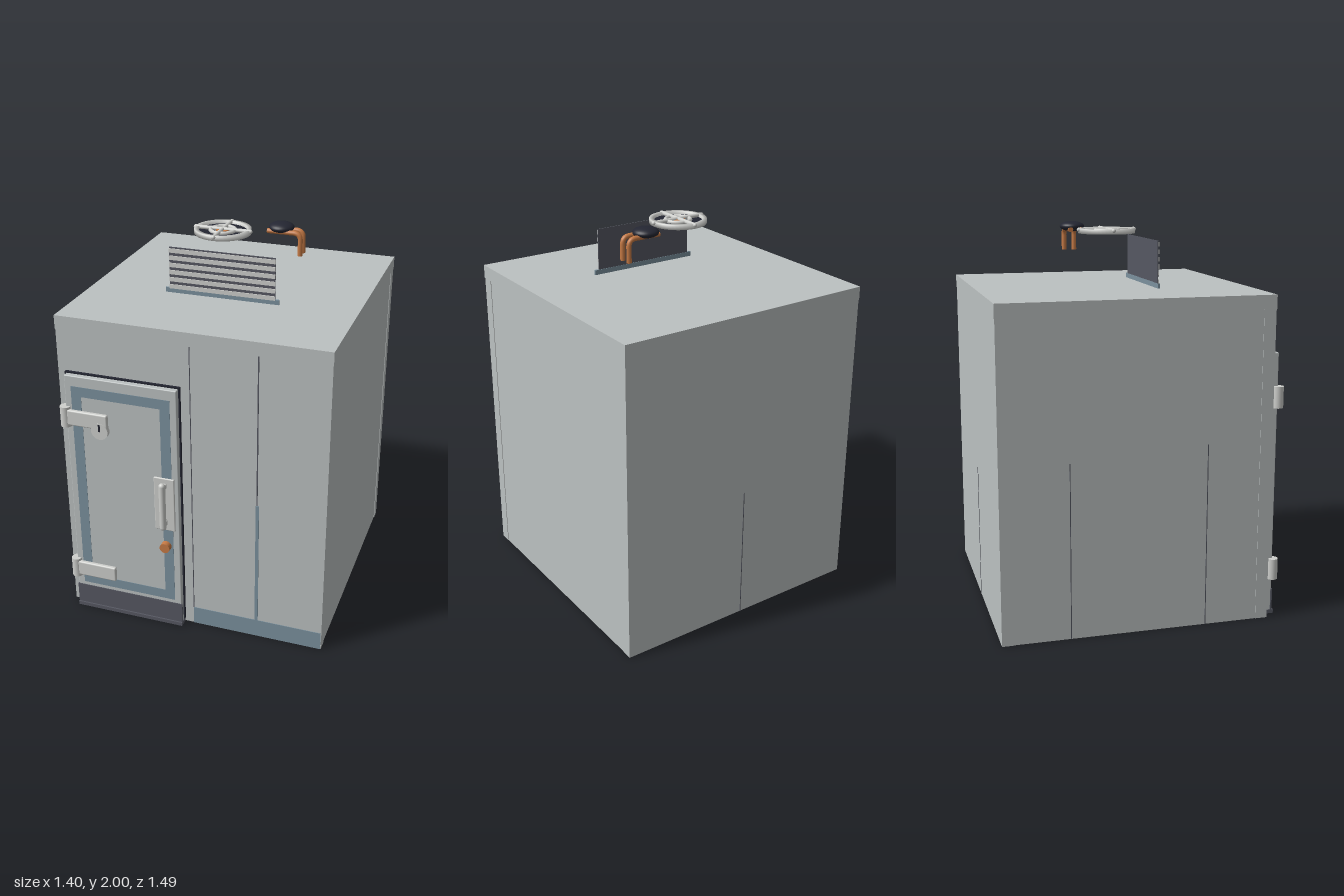
import * as THREE from 'three';
import { RoundedBoxGeometry } from 'three/addons/geometries/RoundedBoxGeometry.js';

const material = (name, color) => {
  const m = new THREE.MeshStandardMaterial({ color });
  m.name = name;
  return m;
};

export function createModel() {
  const panel = material('panel grey', 0xbcc1c1);
  const metal = material('light metal', 0xcfd0cd);
  const blue = material('slate blue', 0x7b919e);
  const dark = material('dark kick plate', 0x565862);
  const black = material('blue black', 0x242632);
  const copper = material('copper', 0xc67a45);

  const root = new THREE.Group();
  root.name = 'coldRoom';
  const group = (name) => {
    const g = new THREE.Group();
    g.name = name;
    root.add(g);
    return g;
  };
  const add = (parent, name, geometry, mat, x = 0, y = 0, z = 0) => {
    const m = new THREE.Mesh(geometry, mat);
    m.name = name;
    m.position.set(x, y, z);
    parent.add(m);
    return m;
  };
  // Box given by its limits on each axis
  const slab = (parent, name, mat, x0, x1, y0, y1, z0, z1, r = 0) => {
    const s = [x1 - x0, y1 - y0, z1 - z0];
    const geo = r ? new RoundedBoxGeometry(...s, 2, r) : new THREE.BoxGeometry(...s);
    return add(parent, name, geo, mat, (x0 + x1) / 2, (y0 + y1) / 2, (z0 + z1) / 2);
  };
  // Flat rectangular frame facing +z
  const frame = (parent, name, mat, x0, x1, y0, y1, w, z, depth) => {
    const rect = (P, a, b, c, d) => new P([[a, c], [b, c], [b, d], [a, d]].map((p) => new THREE.Vector2(...p)));
    const shape = rect(THREE.Shape, x0, x1, y0, y1);
    shape.holes.push(rect(THREE.Path, x0 + w, x1 - w, y0 + w, y1 - w));
    return add(parent, name, new THREE.ExtrudeGeometry(shape, { depth, bevelEnabled: false }), mat, 0, 0, z);
  };

  // Insulated walls, open below, with a doorway in the front
  const shell = group('shell');
  slab(shell, 'roof', panel, -0.7, 0.7, 1.61, 1.68, -0.74, 0.65);
  slab(shell, 'backWall', panel, -0.698, 0.698, 0, 1.61, -0.738, -0.68);
  for (const s of [-1, 1]) {
    slab(shell, 'sideWall', panel, s * 0.665 - 0.03, s * 0.665 + 0.03, 0, 1.61, -0.68, 0.585);
  }
  slab(shell, 'frontWallRight', panel, -0.698, -0.64, 0, 1.61, 0.585, 0.648);
  slab(shell, 'frontWallLeft', panel, -0.065, 0.698, 0, 1.61, 0.585, 0.648);
  slab(shell, 'doorLintel', panel, -0.64, -0.065, 1.37, 1.61, 0.585, 0.648);

  // Panel joints and skirting
  const trim = group('wallTrim');
  slab(trim, 'frontSkirting', blue, 0, 0.695, 0, 0.1, 0.645, 0.651);
  slab(trim, 'frontJoint', dark, -0.002, 0.002, 0.1, 1.61, 0.645, 0.65);
  slab(trim, 'frontJoint', dark, 0.341, 0.347, 0.1, 1.61, 0.645, 0.65);
  slab(trim, 'jointCover', blue, 0.338, 0.355, 0.1, 0.8, 0.645, 0.652);
  slab(trim, 'backJoint', dark, -0.002, 0.002, 0, 0.72, -0.74, -0.735);
  for (const [z, h] of [[-0.39, 0.9], [0.31, 0.95]]) {
    slab(trim, 'sideJoint', dark, -0.697, -0.693, 0, h, z - 0.002, z + 0.002);
  }

  // Door leaf with seals and kick plate
  const door = group('door');
  slab(door, 'doorSeal', black, -0.657, -0.048, 0.02, 1.393, 0.648, 0.662);
  slab(door, 'doorLeaf', panel, -0.65, -0.055, 0.01, 1.385, 0.655, 0.69, 0.005);
  slab(door, 'doorInnerPanel', panel, -0.638, -0.067, 0.01, 1.368, 0.62, 0.65);
  frame(door, 'frontGasket', blue, -0.615, -0.09, 0.155, 1.33, 0.053, 0.687, 0.005);
  frame(door, 'innerGasket', blue, -0.615, -0.09, 0.155, 1.33, 0.053, 0.616, 0.006);
  slab(door, 'kickPlate', dark, -0.655, -0.05, 0.005, 0.135, 0.686, 0.694);
  slab(door, 'threshold', dark, -0.655, -0.05, 0, 0.02, 0.585, 0.702);

  // Hinges: barrel and strap
  const hinges = group('hinges');
  for (const y of [1.16, 0.25]) {
    add(hinges, 'hingeBarrel', new THREE.CylinderGeometry(0.028, 0.028, 0.11, 24), metal, -0.653, y, 0.69);
    slab(hinges, 'hingeStrap', metal, -0.64, -0.42, y - 0.042, y + 0.042, 0.688, 0.712, 0.008);
  }

  // Lock tab below the upper hinge
  const lock = group('lock');
  add(lock, 'lockDisc', new THREE.CylinderGeometry(0.045, 0.045, 0.024, 32), metal, -0.462, 1.11, 0.702).rotation.x = Math.PI / 2;
  slab(lock, 'keySlot', black, -0.467, -0.457, 1.11, 1.15, 0.71, 0.716);

  // Pull handle and release knob
  const handle = group('handle');
  slab(handle, 'handlePlate', metal, -0.185, -0.075, 0.59, 0.895, 0.688, 0.7, 0.005);
  add(handle, 'handleBar', new THREE.CapsuleGeometry(0.017, 0.24, 6, 16), metal, -0.128, 0.747, 0.73);
  for (const y of [0.64, 0.855]) slab(handle, 'handlePost', metal, -0.14, -0.116, y - 0.012, y + 0.012, 0.695, 0.73);
  add(handle, 'releaseKnob', new THREE.CylinderGeometry(0.027, 0.027, 0.034, 24), copper, -0.128, 0.492, 0.706).rotation.x = Math.PI / 2;

  // Equipment case inside the room
  const unit = group('equipment');
  slab(unit, 'equipmentCase', panel, -0.29, 0.29, 0.01, 0.25, -0.26, 0.17, 0.012);

  // Louvred grille standing on the roof
  slab(unit, 'grilleRail', blue, -0.303, 0.3, 1.68, 1.705, 0.165, 0.176);
  slab(unit, 'grilleBack', dark, -0.282, 0.278, 1.7, 1.92, 0.167, 0.172);
  for (let i = 0; i < 6; i++) {
    const y = 1.712 + i * 0.038;
    slab(unit, 'grilleSlat', metal, -0.282, 0.278, y - 0.011, y + 0.011, 0.171, 0.177);
  }

  // Fan with guard rings and cross bars
  const fan = group('fan');
  fan.position.set(-0.07, 1.965, -0.045);
  const ringProfile = [[0.125, -0.015], [0.147, -0.015], [0.147, 0.01], [0.125, 0.01], [0.125, -0.015]];
  add(fan, 'fanRim', new THREE.LatheGeometry(ringProfile.map((p) => new THREE.Vector2(...p)), 48), metal);
  add(fan, 'fanDisc', new THREE.CylinderGeometry(0.126, 0.126, 0.006, 48), black, 0, -0.008);
  add(fan, 'guardRing', new THREE.TorusGeometry(0.063, 0.011, 8, 40), metal).rotation.x = Math.PI / 2;
  add(fan, 'fanHub', new THREE.CylinderGeometry(0.035, 0.035, 0.012, 24), copper, 0, -0.002);
  for (const a of [0, Math.PI / 2]) {
    const bar = add(fan, 'guardBar', new THREE.CapsuleGeometry(0.011, 0.295, 4, 12), metal, 0, 0.004);
    bar.rotation.set(0, a, Math.PI / 2);
  }

  // Compressor dome and its two bent pipes
  const compressor = group('compressor');
  add(compressor, 'compressorDome', new THREE.SphereGeometry(0.066, 32, 16), black, 0.207, 1.973, -0.166).scale.y = 0.41;
  for (const z of [-0.186, -0.13]) {
    const path = new THREE.CurvePath();
    const v = (x, y) => new THREE.Vector3(x, y, z);
    path.add(new THREE.LineCurve3(v(0.142, 1.957), v(0.28, 1.957)));
    path.add(new THREE.QuadraticBezierCurve3(v(0.28, 1.957), v(0.318, 1.957), v(0.318, 1.92)));
    path.add(new THREE.LineCurve3(v(0.318, 1.92), v(0.318, 1.84)));
    add(compressor, 'pipe', new THREE.TubeGeometry(path, 40, 0.013, 12), copper);
    add(compressor, 'pipeEnd', new THREE.CircleGeometry(0.013, 12), copper, 0.318, 1.84, z).rotation.x = Math.PI / 2;
    add(compressor, 'pipeEnd', new THREE.CircleGeometry(0.013, 12), copper, 0.142, 1.957, z).rotation.y = -Math.PI / 2;
  }
  return root;
}
